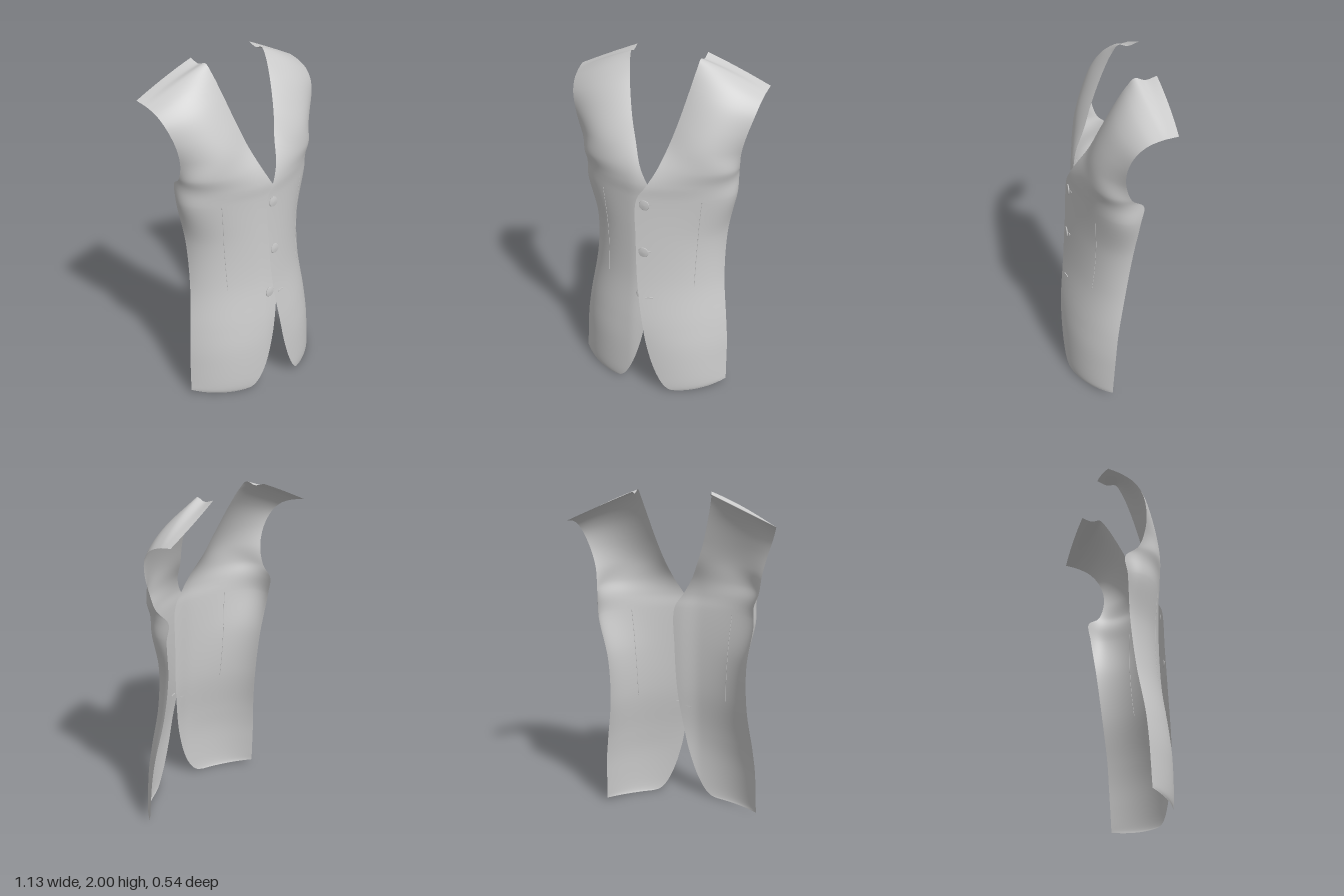
import * as THREE from 'three';

const material = new THREE.MeshStandardMaterial({ color: 0xcccccc, side: THREE.DoubleSide });
const curve = (points) => new THREE.CatmullRomCurve3(points.map((p) => new THREE.Vector3(...p)));

// Matching points up the panel, hem to shoulder: front/neck edge, belly of the section, side/armhole edge
const frontEdge = curve([
  [0.205, 0.002, 0.23], [0.165, 0.012, 0.246], [0.13, 0.045, 0.257], [0.08, 0.14, 0.265],
  [0.03, 0.3, 0.267], [0, 0.45, 0.262], [-0.04, 0.72, 0.235], [-0.055, 1, 0.215], [-0.055, 1.25, 0.202],
  [0, 1.34, 0.19], [0.05, 1.43, 0.158], [0.095, 1.55, 0.095], [0.135, 1.68, 0.045], [0.175, 1.85, -0.03],
  [0.195, 1.95, -0.085], [0.203, 1.995, -0.125], [0.208, 1.982, -0.18], [0.21, 2, -0.24],
]);
const belly = curve([
  [0.36, 0, 0.17], [0.355, 0.015, 0.19], [0.345, 0.05, 0.21], [0.33, 0.16, 0.23],
  [0.32, 0.3, 0.235], [0.32, 0.45, 0.21], [0.335, 0.72, 0.155], [0.38, 1, 0.13], [0.52, 1.25, 0.1],
  [0.52, 1.34, 0.11], [0.46, 1.43, 0.145], [0.35, 1.54, 0.175], [0.335, 1.67, 0.125], [0.35, 1.81, 0.045],
  [0.37, 1.9, -0.05], [0.38, 1.93, -0.14], [0.385, 1.925, -0.205], [0.385, 1.925, -0.265],
]);
const sideEdge = curve([
  [0.46, 0.025, 0.035], [0.46, 0.04, 0.034], [0.459, 0.07, 0.032], [0.457, 0.17, 0.025],
  [0.453, 0.3, 0.015], [0.438, 0.45, 0], [0.405, 0.72, -0.045], [0.405, 1, -0.085], [0.445, 1.25, -0.115],
  [0.445, 1.36, -0.13], [0.465, 1.42, -0.06], [0.478, 1.52, -0.025], [0.505, 1.63, -0.022], [0.535, 1.73, -0.055],
  [0.55, 1.79, -0.11], [0.558, 1.822, -0.18], [0.562, 1.832, -0.22], [0.565, 1.84, -0.265],
]);

// Thin cloth panel; side = 1 is the overlapping left panel, -1 the one tucked beneath
function makePanel(side) {
  const rows = 136, cols = 32, positions = [], indices = [];
  for (let j = 0; j <= rows; j++) {
    const t = j / rows;
    const section = new THREE.QuadraticBezierCurve3(
      frontEdge.getPoint(t), belly.getPoint(t), sideEdge.getPoint(t));
    for (let i = 0; i <= cols; i++) {
      const p = section.getPoint(i / cols);
      if (side < 0) {
        const low = Math.max(0, 1 - p.y / 1.3);
        p.z -= 0.006 + 0.034 * low + 0.022 * (1 - THREE.MathUtils.smoothstep(p.x, -0.05, 0.1));
        p.x *= -(1 + 0.045 * low);
      }
      positions.push(p.x, p.y, p.z);
      if (i < cols && j < rows) {
        const a = j * (cols + 1) + i, b = a + 1, c = a + cols + 1, d = c + 1;
        indices.push(...(side > 0 ? [a, b, d, a, d, c] : [a, d, b, a, c, d]));
      }
    }
  }
  const geometry = new THREE.BufferGeometry();
  geometry.setAttribute('position', new THREE.Float32BufferAttribute(positions, 3));
  geometry.setIndex(indices);
  geometry.computeVertexNormals();
  const panel = new THREE.Mesh(geometry, material);
  panel.name = side > 0 ? 'leftFrontPanel' : 'rightFrontPanel';
  return panel;
}

// Point on the outside of a panel at a given x and y
function onPanel(panel, x, y) {
  const ray = new THREE.Raycaster(new THREE.Vector3(x, y, 2), new THREE.Vector3(0, 0, -1));
  return ray.intersectObject(panel)[0].point;
}

// Flat round button with a softened edge
function makeButton(position) {
  const profile = [[0, -0.004], [0.028, -0.004], [0.031, 0], [0.028, 0.004], [0, 0.005]];
  const button = new THREE.Mesh(
    new THREE.LatheGeometry(profile.map((p) => new THREE.Vector2(...p)), 32), material);
  button.name = 'button';
  button.rotation.x = Math.PI / 2;
  button.position.copy(position);
  button.position.z += 0.006;
  return button;
}

export function createModel() {
  const vest = new THREE.Group();
  vest.name = 'vestFront';
  const left = makePanel(1), right = makePanel(-1);
  vest.add(left, right);

  // Two fastened buttons, and the lowest one on the under panel
  for (const y of [1.225, 0.93]) vest.add(makeButton(onPanel(left, -0.008, y)));
  vest.add(makeButton(onPanel(right, -0.03, 0.635)));

  // Stitched buttonholes
  for (const [x, y, width] of [[0.022, 1.225, 0.02], [0.022, 0.93, 0.02], [0.03, 0.637, 0.045]]) {
    const hole = new THREE.Mesh(new THREE.BoxGeometry(width, 0.007, 0.006), material);
    hole.name = 'buttonhole';
    hole.position.copy(onPanel(left, x, y));
    hole.rotation.y = 0.2;
    vest.add(hole);
  }

  // Waist darts, fine seams lying on each panel
  for (const [panel, side] of [[left, 1], [right, -1]]) {
    const points = [];
    for (let k = 0; k <= 16; k++) {
      const y = 1.25 - 0.55 * k / 16;
      points.push(onPanel(panel, side * (0.27 + 0.03 * ((y - 0.7) / 0.55) ** 2), y));
    }
    const dart = new THREE.Mesh(
      new THREE.TubeGeometry(new THREE.CatmullRomCurve3(points), 48, 0.0015, 6), material);
    dart.name = side > 0 ? 'leftDart' : 'rightDart';
    vest.add(dart);
  }
  return vest;
}
